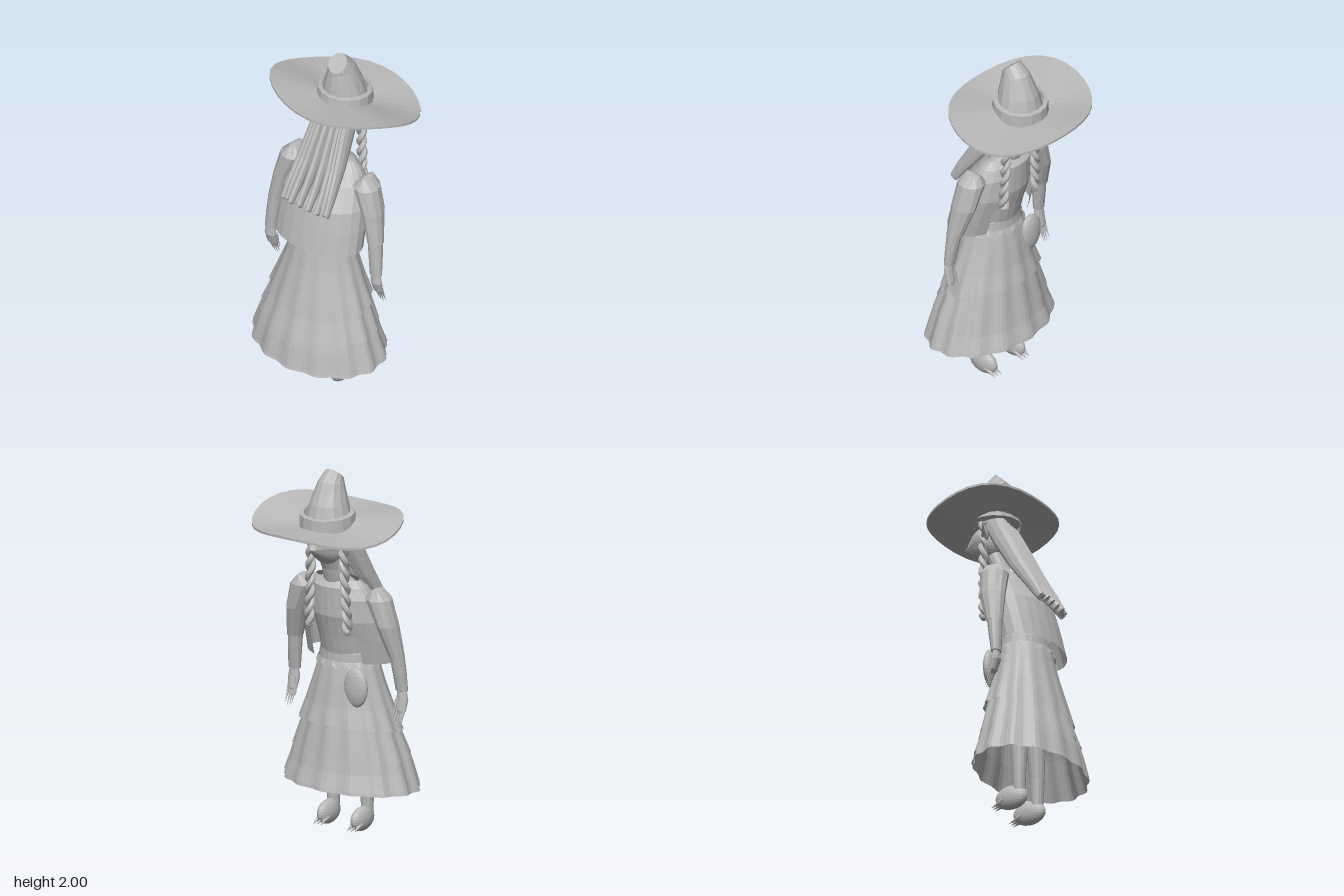
import * as THREE from 'three';

const grey = new THREE.MeshStandardMaterial({ color: 0xb8b8b8, side: THREE.DoubleSide, flatShading: true });
grey.name = 'plain grey';
const mix = THREE.MathUtils.lerp;
const V = (x, y, z) => new THREE.Vector3(x, y, z);

// Surface from a rule f(u, v) -> [x, y, z], with u and v from 0 to 1
function grid(nu, nv, f) {
  const pos = [], idx = [];
  for (let j = 0; j <= nv; j++) for (let i = 0; i <= nu; i++) pos.push(...f(i / nu, j / nv));
  for (let j = 0; j < nv; j++) for (let i = 0; i < nu; i++) {
    const a = j * (nu + 1) + i, b = a + nu + 1;
    idx.push(a, b, a + 1, a + 1, b, b + 1);
  }
  const g = new THREE.BufferGeometry();
  g.setAttribute('position', new THREE.Float32BufferAttribute(pos, 3));
  g.setIndex(idx);
  g.computeVertexNormals();
  return g;
}

// Loft through rings [xBack, xFront, yBack, yFront, zRadius, zCentre]; gap leaves the front open
function loft(rings, sides = 20, gap = 0, wave = () => 0) {
  return grid(sides, rings.length - 1, (u, v) => {
    const [xb, xf, yb, yf, rz, cz = 0] = rings[Math.round(v * (rings.length - 1))];
    const a = mix(gap, Math.PI * 2 - gap, u), k = 1 + wave(a, v);
    const c = Math.cos(a) * k, t = (1 + c) / 2;
    return [mix(xb, xf, t), mix(yb, yf, t), cz + rz * Math.sin(a) * k];
  });
}

export function createModel() {
  const model = new THREE.Group();
  const add = (name, geo, parent = model) => {
    const m = new THREE.Mesh(geo, grey);
    m.name = name;
    parent.add(m);
    return m;
  };
  const ball = (name, p, r, parent) => {
    const m = add(name, new THREE.SphereGeometry(1, 20, 14), parent);
    m.position.set(...p);
    m.scale.set(...r);
    return m;
  };
  const tube = (name, pts, r, parent, n, sides) =>
    add(name, new THREE.TubeGeometry(new THREE.CatmullRomCurve3(pts), n, r, sides), parent);
  const spike = (name, from, to, r, parent) => {
    const d = to.clone().sub(from), m = add(name, new THREE.ConeGeometry(r, d.length(), 8), parent);
    m.position.copy(from).addScaledVector(d, 0.5);
    m.quaternion.setFromUnitVectors(V(0, 1, 0), d.normalize());
    return m;
  };

  // Hat: thick drooping brim, band and bent crown with a slanted tip
  const brim = [[0, -0.006], [0.35, -0.006], [0.7, -0.006], [1, -0.006], [1, 0.006], [0.7, 0.006], [0.35, 0.006], [0, 0.006]];
  add('hatBrim', grid(32, brim.length - 1, (u, v) => {
    const [t, dy] = brim[Math.round(v * (brim.length - 1))];
    const a = u * Math.PI * 2, c = Math.cos(a), s = Math.sin(a);
    const rim = 1.727 - 0.024 * c - 0.08 * c * s * s;
    return [0.093 + 0.324 * t * c, mix(1.706 - 0.012 * c, rim, t) + dy, 0.43 * t * s];
  }));
  add('hatBand', loft([
    [-0.058, 0.24, 1.71, 1.69, 0.153], [-0.046, 0.237, 1.785, 1.76, 0.148], [-0.02, 0.215, 1.79, 1.765, 0.125],
  ], 16));
  add('hatCrown', loft([
    [-0.035, 0.215, 1.74, 1.72, 0.128], [-0.025, 0.19, 1.84, 1.82, 0.1],
    [-0.016, 0.135, 1.91, 1.94, 0.068], [-0.015, 0.072, 1.92, 2.0, 0.052], [0.03, 0.03, 1.96, 1.96, 0],
  ], 14));

  // Head: full brow above, straight slope from nose tip to chin below
  const head = new THREE.SphereGeometry(1, 24, 18), hp = head.attributes.position;
  for (let i = 0; i < hp.count; i++) {
    const x = hp.getX(i), y = hp.getY(i);
    const cone = 1 - Math.sqrt(Math.max(0, 1 - x * x));
    const pull = y > 0 ? mix(0.75, 0.4, Math.min(1, y * 1.5)) : 0.85;
    hp.setXYZ(i, 0.11 + (x > 0 ? 0.145 * mix(x, cone, pull) : 0.09 * x), 1.6 + 0.108 * y, 0.1 * hp.getZ(i));
  }
  head.computeVertexNormals();
  add('head', head);
  add('neck', loft([
    [-0.05, 0.07, 1.36, 1.36, 0.065], [0, 0.1, 1.46, 1.46, 0.058], [0.04, 0.15, 1.56, 1.56, 0.06],
  ], 14));

  // Loose hair swept back in tapering locks
  for (const z of [-0.14, -0.115, -0.085, -0.03, 0.03, 0.085, 0.115, 0.14]) {
    const d = Math.abs(z) > 0.1 ? 0.012 : 0;
    add('hairLock', loft([
      [-0.012, 0.115, 1.7, 1.7, 0.02, z * 0.62], [-0.085, 0.035, 1.56, 1.55, 0.024, z * 0.72],
      [-0.158, -0.065, 1.41, 1.39, 0.022, z * 0.85], [-0.225, -0.165, 1.29, 1.26, 0.018, z * 0.95],
      [-0.28 + d, -0.243 + d, 1.2, 1.17, 0.013, z], [-0.265 + d, -0.255 + d, 1.185, 1.165, 0, z],
    ], 10));
  }

  // Blouse, waistband with scalloped frill, and open jacket
  add('blouse', loft([
    [-0.04, 0.06, 1.41, 1.4, 0.07], [-0.07, 0.1, 1.37, 1.36, 0.14], [-0.14, 0.095, 1.22, 1.2, 0.158],
    [-0.18, 0.06, 1.08, 1.08, 0.145], [-0.2, 0.035, 0.98, 0.98, 0.145],
  ]));
  add('waistband', loft([
    [-0.2, 0.03, 1.0, 1.0, 0.14], [-0.225, 0.035, 0.985, 0.985, 0.158], [-0.232, 0.038, 0.93, 0.93, 0.165],
  ], 24));
  add('scallopedFrill', grid(96, 1, (u, v) => {
    const a = u * Math.PI * 2, y = 0.94 - v * (0.018 + 0.026 * Math.abs(Math.sin(a * 7)));
    const r = 1.02 + 0.09 * v;
    return [-0.098 + 0.135 * r * Math.cos(a), y, 0.165 * r * Math.sin(a)];
  }));
  add('jacket', loft([
    [-0.05, 0.05, 1.402, 1.395, 0.135], [-0.1, 0.08, 1.36, 1.36, 0.175], [-0.15, 0.1, 1.3, 1.3, 0.215],
    [-0.235, 0.1, 1.18, 1.18, 0.25], [-0.265, 0.06, 1.06, 1.06, 0.262], [-0.292, 0.025, 0.94, 0.94, 0.267],
  ], 18, 0.62));

  // Skirt in three pleated tiers
  const pleat = (a, v) => 0.026 * (0.25 + 0.75 * v) * Math.cos(a * 14 + Math.PI * 0.1);
  const hemPleat = (a) => pleat(a, 1);
  add('upperSkirt', loft([
    [-0.23, 0.035, 0.94, 0.94, 0.163], [-0.265, 0.06, 0.79, 0.82, 0.205],
    [-0.3, 0.08, 0.66, 0.7, 0.25], [-0.337, 0.104, 0.525, 0.605, 0.294],
  ], 84, 0, pleat));
  add('middleSkirt', loft([
    [-0.305, 0.078, 0.6, 0.66, 0.255], [-0.327, 0.094, 0.525, 0.57, 0.285], [-0.367, 0.122, 0.41, 0.42, 0.337],
  ], 84, 0, hemPleat));
  add('lowerSkirt', loft([
    [-0.352, 0.11, 0.44, 0.46, 0.32], [-0.377, 0.13, 0.36, 0.36, 0.35], [-0.403, 0.155, 0.245, 0.28, 0.384],
  ], 84, 0, hemPleat));
  add('underskirtHem', loft([
    [-0.36, 0.115, 0.38, 0.4, 0.335], [-0.405, 0.15, 0.228, 0.256, 0.386],
  ], 84, 0, hemPleat));

  // Pouch hanging at the front
  ball('pouch', [0.035, 0.82, -0.14], [0.033, 0.108, 0.073]);

  // Paired parts: ears, plaits, arms, hands, legs and feet
  for (const side of [1, -1]) {
    const half = new THREE.Group();
    half.name = side > 0 ? 'rightHalf' : 'leftHalf';
    half.scale.z = side;
    model.add(half);

    spike('ear', V(0.1, 1.59, 0.085), V(0.07, 1.66, 0.175), 0.036, half).scale.x = 0.5;

    for (let k = 0; k < 2; k++) {
      const pts = [];
      for (let i = 0; i <= 48; i++) {
        const t = i / 48, a = t * Math.PI * 8 + k * Math.PI;
        pts.push(V(mix(0.1, 0.087, t) + 0.013 * Math.cos(a), mix(1.69, 1.14, t),
          mix(0.098, 0.122, t) + 0.013 * Math.sin(a)));
      }
      tube('plaitStrand', pts, 0.016, half, 96, 7);
    }
    ball('plaitEnd', [0.087, 1.135, 0.122], [0.018, 0.02, 0.018], half);

    add('sleeve', loft([
      [-0.03, -0.02, 1.368, 1.368, 0, 0.235], [-0.07, 0.025, 1.362, 1.362, 0.018, 0.238],
      [-0.108, 0.045, 1.31, 1.31, 0.072, 0.238], [-0.115, 0.03, 1.17, 1.17, 0.056, 0.288],
      [-0.117, -0.025, 1.0, 1.0, 0.043, 0.325],
    ], 12), half);
    add('forearm', loft([
      [-0.114, -0.03, 1.02, 1.02, 0.04, 0.324], [-0.118, -0.05, 0.9, 0.9, 0.038, 0.337],
      [-0.118, -0.066, 0.81, 0.81, 0.035, 0.344], [-0.09, -0.09, 0.8, 0.8, 0, 0.344],
    ], 12), half);
    add('palm', loft([
      [-0.11, -0.075, 0.81, 0.81, 0.028, 0.345], [-0.115, -0.07, 0.76, 0.765, 0.035, 0.347],
      [-0.095, -0.06, 0.7, 0.705, 0.029, 0.348], [-0.075, -0.065, 0.685, 0.685, 0.018, 0.348],
    ], 10), half);
    for (let i = 0; i < 4; i++) {
      const z = 0.327 + i * 0.014;
      spike('finger', V(-0.085, 0.73, z), V(-0.038, 0.6 + 0.012 * Math.abs(i - 1.5), z), 0.011, half);
    }
    spike('thumb', V(-0.08, 0.76, 0.322), V(-0.055, 0.66, 0.313), 0.012, half);

    add('leg', loft([
      [-0.17, -0.03, 0.85, 0.85, 0.06, 0.085], [-0.16, -0.05, 0.5, 0.5, 0.055, 0.1],
      [-0.15, -0.072, 0.25, 0.25, 0.038, 0.108], [-0.143, -0.08, 0.1, 0.1, 0.032, 0.108],
    ], 14), half);
    ball('foot', [-0.068, 0.072, 0.108], [0.092, 0.067, 0.039], half);
    for (const dz of [-0.022, 0, 0.022])
      spike('toe', V(-0.03, 0.055, 0.108 + dz * 0.9), V(0.042, 0.022, 0.108 + dz * 1.1), 0.017, half);
  }
  return model;
}
